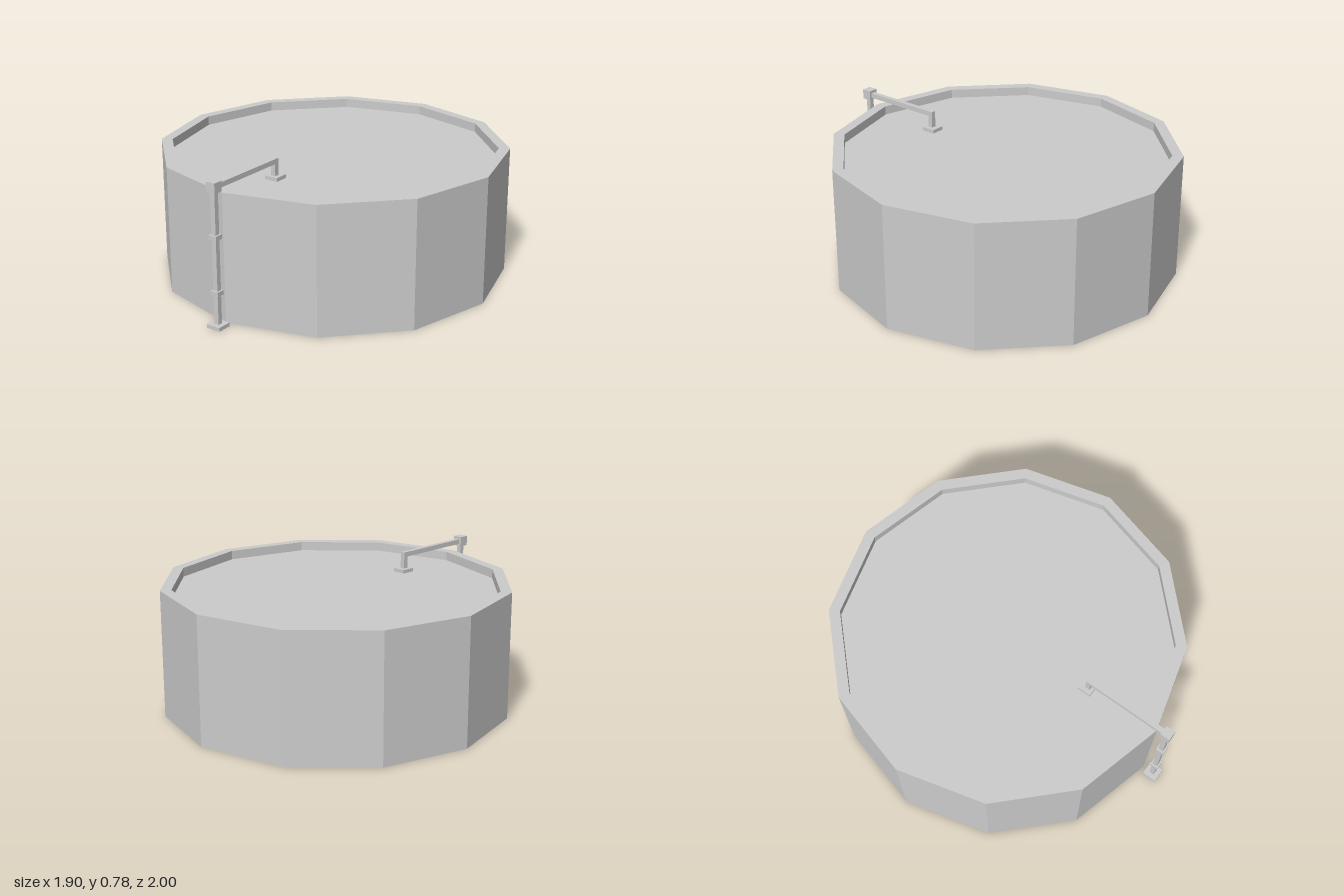
import * as THREE from 'three';

const grey = new THREE.MeshStandardMaterial({ color: 0xcccccc, flatShading: true });
const thin = new THREE.MeshStandardMaterial({ color: 0xcccccc, flatShading: true, side: THREE.DoubleSide });

// Box given by its ranges in y and z, centred on x = 0
function box(name, width, y0, y1, z0, z1) {
  const mesh = new THREE.Mesh(new THREE.BoxGeometry(width, y1 - y0, z1 - z0), grey);
  mesh.name = name;
  mesh.position.set(0, (y0 + y1) / 2, (z0 + z1) / 2);
  return mesh;
}

export function createModel() {
  const model = new THREE.Group();
  model.name = 'waterTank';

  // Twelve-sided shell, open below, with a rim around the sunken lid
  const profile = [[0.95, 0], [0.95, 0.7], [0.89, 0.7], [0.89, 0.65], [0, 0.65]]
    .map(([r, y]) => new THREE.Vector2(r, y));
  const tank = new THREE.Mesh(new THREE.LatheGeometry(profile, 12), thin);
  tank.name = 'tankShell';
  tank.position.z = -0.05;
  model.add(tank);

  // Feed pipe: up the front, over the rim and down to the lid
  const pipe = new THREE.Group();
  pipe.name = 'pipe';
  pipe.add(
    box('pipeBase', 0.08, 0, 0.02, 0.92, 1),
    box('uprightPipe', 0.027, 0.02, 0.725, 0.946, 0.973),
    box('elbowBlock', 0.054, 0.722, 0.777, 0.933, 0.987),
    box('overheadPipe', 0.027, 0.735, 0.762, 0.465, 0.933),
    box('dropPipe', 0.027, 0.67, 0.735, 0.465, 0.492),
    box('lidFlange', 0.076, 0.65, 0.67, 0.435, 0.511)
  );
  for (const y of [0.19, 0.488]) {
    pipe.add(box('pipeCollar', 0.046, y - 0.012, y + 0.012, 0.937, 0.983));
  }
  model.add(pipe);

  return model;
}
